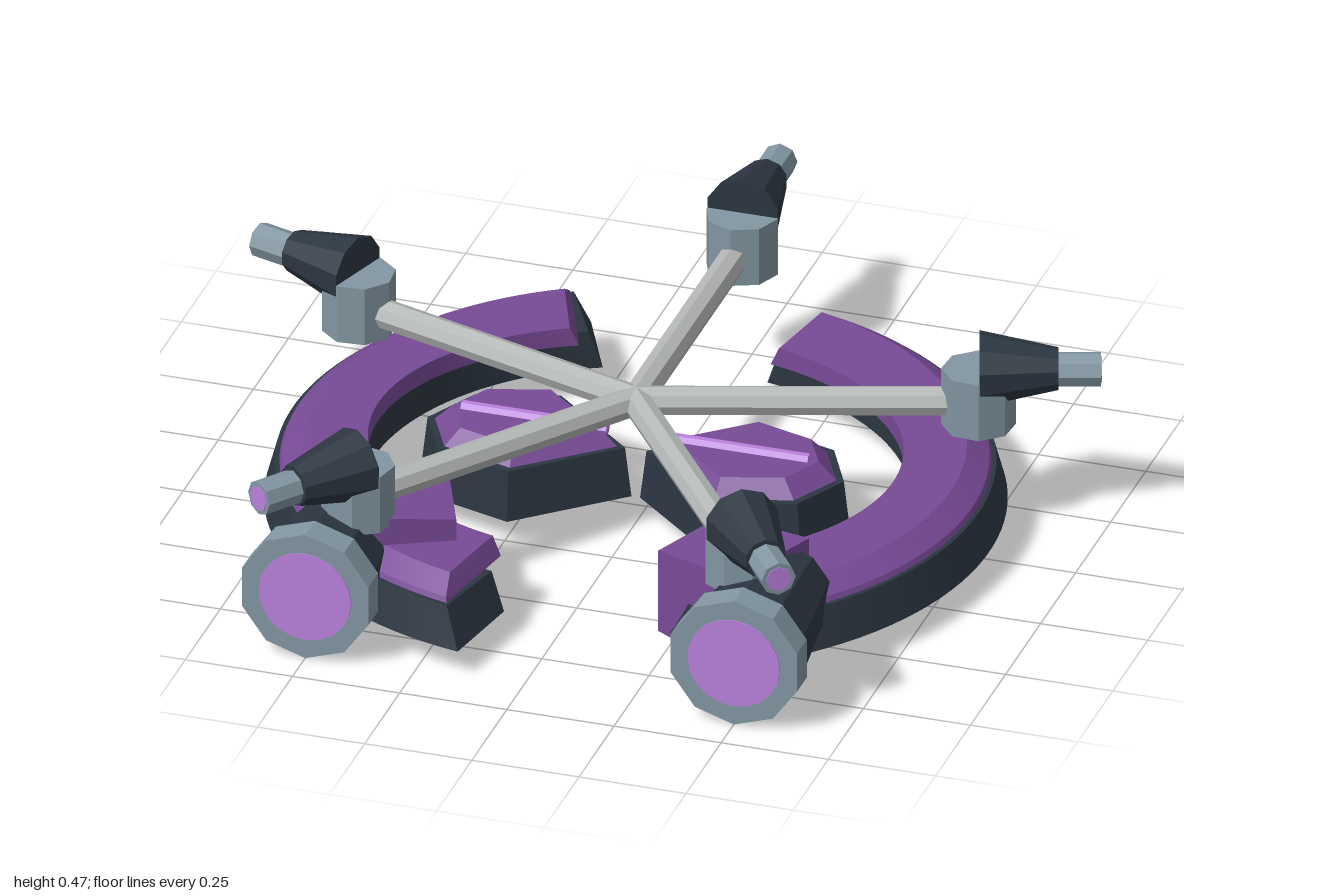
import * as THREE from 'three';
import { toCreasedNormals } from 'three/addons/utils/BufferGeometryUtils.js';

const mat = (color, flat = true) => new THREE.MeshStandardMaterial({ color, flatShading: flat });
const dark = mat(0x2c3641), steel = mat(0x8296a2), rod = mat(0xb4b8b6);
const purple = mat(0x774a96), glow = mat(0xb981dd);
const darkSmooth = mat(0x2c3641, false), purpleSmooth = mat(0x774a96, false);

function add(parent, name, geometry, material, x = 0, y = 0, z = 0) {
  const mesh = new THREE.Mesh(geometry, material);
  mesh.name = name;
  mesh.position.set(x, y, z);
  parent.add(mesh);
  return mesh;
}

// Frustum along z, with radius rFront at the +z end and a corner straight up
function frustumZ(rFront, rBack, length, sides) {
  return new THREE.CylinderGeometry(rFront, rBack, length, sides)
    .rotateY(Math.PI).rotateX(Math.PI / 2);
}

// Sweeps a profile of [radiusX, radiusZ, y, endInset] round the hub, angle from -z to +x
function arcSweep(profile, start, end, steps) {
  const n = profile.length, pos = [], index = [];
  for (let i = 0; i <= steps; i++) {
    for (const [rx, rz, y, inset] of profile) {
      const a = THREE.MathUtils.degToRad(THREE.MathUtils.lerp(start + inset, end - inset, i / steps));
      pos.push(rx * Math.sin(a), y, -rz * Math.cos(a));
    }
  }
  for (let i = 0; i < steps; i++) {
    for (let j = 0; j < n; j++) {
      const k = (j + 1) % n;
      const a = i * n + j, b = a + n, d = i * n + k, c = d + n;
      index.push(a, d, c, a, c, b);
    }
  }
  const last = steps * n;
  for (let j = 1; j < n - 1; j++) {
    index.push(0, j + 1, j, last, last + j, last + j + 1);
  }
  const g = new THREE.BufferGeometry();
  g.setAttribute('position', new THREE.Float32BufferAttribute(pos, 3));
  g.setIndex(index);
  return toCreasedNormals(g, 0.4);
}

// Prism from plan points [x, z], its top scaled about a centre
function plate(points, y0, y1, topScale, cx) {
  const shape = new THREE.Shape(points.map(([x, z]) => new THREE.Vector2(x, -z)));
  const g = new THREE.ExtrudeGeometry(shape, { depth: y1 - y0, bevelEnabled: false });
  g.rotateX(-Math.PI / 2).translate(0, y0, 0);
  const p = g.attributes.position;
  for (let i = 0; i < p.count; i++) {
    if (p.getY(i) > (y0 + y1) / 2) {
      p.setX(i, cx + (p.getX(i) - cx) * topScale);
      p.setZ(i, p.getZ(i) * topScale);
    }
  }
  g.computeVertexNormals();
  return g;
}

// Spoke pointing to -z with socket, pod and nozzle
function makeArm() {
  const arm = new THREE.Group();
  arm.name = 'arm';
  add(arm, 'spoke', frustumZ(0.034, 0.034, 0.72, 8), rod, 0, 0.308, -0.36);
  add(arm, 'socket', new THREE.CylinderGeometry(0.083, 0.083, 0.14, 8), steel, 0, 0.32, -0.76);
  add(arm, 'pod', frustumZ(0.086, 0.048, 0.175, 10), dark, 0, 0.389, -0.85);
  add(arm, 'nozzle', frustumZ(0.04, 0.04, 0.11, 8), steel, 0, 0.387, -0.977);
  add(arm, 'nozzleLight', frustumZ(0.03, 0.03, 0.01, 8), glow, 0, 0.387, -1.029);
  return arm;
}

// Curved hull half on the +x side
function makeHull() {
  const hull = new THREE.Group();
  hull.name = 'hullArc';
  add(hull, 'hullBase', arcSweep([
    [0.61, 0.61, 0.065, 0], [0.825, 0.825, 0.065, 0],
    [0.80, 0.80, 0.158, 3], [0.61, 0.61, 0.158, 3],
  ], 10.5, 155, 48), darkSmooth);
  add(hull, 'hullDeck', arcSweep([
    [0.60, 0.535, 0.158, 3.5], [0.79, 0.79, 0.158, 3.5],
    [0.785, 0.785, 0.17, 3.8], [0.735, 0.735, 0.203, 5.5], [0.60, 0.535, 0.203, 5.5],
  ], 10.5, 155, 48), purpleSmooth);
  return hull;
}

// Faceted pod beside the hub
function makeCorePod() {
  const pod = new THREE.Group();
  pod.name = 'corePod';
  const plan = [[0.01, 0], [0.235, 0.2], [0.43, 0.14], [0.5, 0], [0.43, -0.14], [0.235, -0.2]];
  const inner = plan.map(([x, z]) => [0.26 + (x - 0.26) * 0.89, z * 0.87]);
  add(pod, 'podBase', plate(plan, 0.065, 0.185, 0.94, 0.26), dark);
  add(pod, 'podTop', plate(inner, 0.18, 0.225, 0.78, 0.26), purple);
  add(pod, 'podRidge', new THREE.CylinderGeometry(0.014, 0.014, 0.34, 6).rotateZ(Math.PI / 2),
    glow, 0.235, 0.226, 0);
  return pod;
}

// Thruster with its tapered mounting block
function makeThruster(side) {
  const g = new THREE.Group();
  g.name = side > 0 ? 'leftThruster' : 'rightThruster';
  const x = 0.5 * side;
  add(g, 'thrusterBody', frustumZ(0.145, 0.108, 0.31, 10), dark, x, 0.155, 0.615);
  add(g, 'thrusterRim', frustumZ(0.155, 0.155, 0.07, 10), steel, x, 0.155, 0.795);
  add(g, 'thrusterLight', frustumZ(0.108, 0.108, 0.01, 20), glow, x, 0.155, 0.828);
  const block = new THREE.BoxGeometry(0.24, 0.24, 0.25);
  const p = block.attributes.position;
  for (let i = 0; i < p.count; i++) {
    if (p.getX(i) * side < 0) {
      p.setY(i, p.getY(i) * 0.84);
      p.setZ(i, p.getZ(i) * 0.88);
    }
  }
  block.computeVertexNormals();
  const mount = add(g, 'thrusterMount', block, purple, 0.388 * side, 0.155, 0.505);
  mount.rotation.y = -0.39 * side;
  return g;
}

export function createModel() {
  const root = new THREE.Group();
  root.name = 'fiveArmCraft';
  const hub = new THREE.Group();
  hub.name = 'hub';
  hub.position.z = 0.08;
  root.add(hub);

  for (let i = 0; i < 5; i++) {
    const arm = makeArm();
    arm.rotation.y = (i * Math.PI * 2) / 5;
    hub.add(arm);
  }
  // The hull halves and core pods repeat by a half turn
  for (let i = 0; i < 2; i++) {
    const half = new THREE.Group();
    half.name = i ? 'rightHalf' : 'leftHalf';
    half.add(makeHull(), makeCorePod());
    half.rotation.y = i * Math.PI;
    hub.add(half);
  }
  hub.add(makeThruster(1), makeThruster(-1));
  return root;
}
